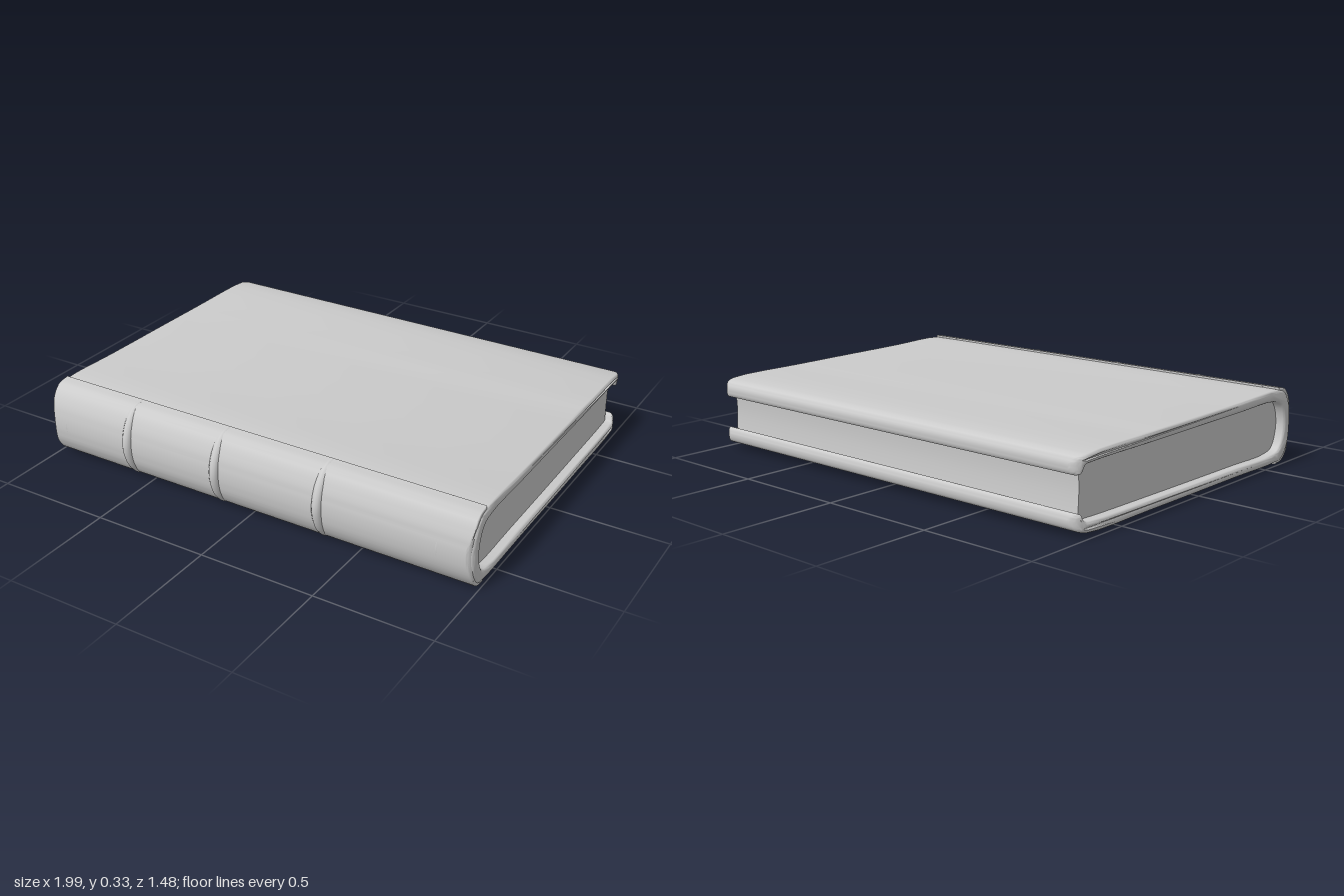
import * as THREE from 'three';
import { toCreasedNormals } from 'three/addons/utils/BufferGeometryUtils.js';

const grey = new THREE.MeshStandardMaterial({ color: 0xcccccc });
grey.name = 'plain grey';

// Smooth curve through [z, y] pairs
function smooth(pairs, closed, steps) {
  const pts = pairs.map(([z, y]) => new THREE.Vector3(z, y, 0));
  return new THREE.CatmullRomCurve3(pts, closed).getPoints(pairs.length * steps)
    .map((p) => new THREE.Vector2(p.x, p.y));
}

// Extrude a (z, y) outline along x, with softened ends
function extrudeAlongX(outline, halfLength, bevel) {
  const depth = 2 * (halfLength - bevel);
  const geo = new THREE.ExtrudeGeometry(new THREE.Shape(outline), {
    depth, bevelEnabled: bevel > 0, bevelThickness: bevel, bevelSize: bevel,
    bevelOffset: -bevel, bevelSegments: 4,
  });
  geo.translate(0, 0, -depth / 2);
  geo.rotateY(-Math.PI / 2);
  return geo;
}

// Round the plan corners at the fore edge and, more gently, at the spine
function roundCorners(geo) {
  const p = geo.attributes.position;
  const inset = (d, r) => (d <= 0 ? 0 : r - Math.sqrt(Math.max(0, r * r - d * d)));
  for (let i = 0; i < p.count; i++) {
    const x = p.getX(i), z = p.getZ(i);
    const cut = inset(-0.685 - z, 0.065) + inset(z - 0.68, 0.045);
    p.setX(i, x - Math.sign(x) * cut);
  }
  return geo;
}

function addMesh(group, name, geo) {
  const mesh = new THREE.Mesh(geo, grey);
  mesh.name = name;
  group.add(mesh);
  return mesh;
}

export function createModel() {
  const book = new THREE.Group();
  book.name = 'book';

  // Wraparound cover: outer skin, curled fore-edge lips, inner skin
  const cover = smooth([
    [-0.735, 0.035], [-0.69, 0.018], [-0.3, 0.012], [0.3, 0.011], [0.59, 0.01],
    [0.65, 0.022], [0.69, 0.08], [0.705, 0.165], [0.69, 0.25], [0.65, 0.308],
    [0.59, 0.324], [0.3, 0.32], [-0.3, 0.314], [-0.69, 0.306], [-0.735, 0.29],
    [-0.745, 0.26], [-0.735, 0.233], [-0.715, 0.235], [-0.70, 0.265], [-0.66, 0.27],
    [-0.3, 0.272], [0.3, 0.276], [0.56, 0.276], [0.62, 0.255], [0.65, 0.165],
    [0.62, 0.07], [0.56, 0.05], [0.3, 0.05], [-0.3, 0.054], [-0.66, 0.06],
    [-0.70, 0.065], [-0.715, 0.09], [-0.735, 0.09], [-0.745, 0.065],
  ], true, 4);
  cover.pop();
  addMesh(book, 'cover', toCreasedNormals(roundCorners(extrudeAlongX(cover, 0.995, 0.014)), 0.7));

  // Page block with a slightly hollow fore edge
  const pages = [
    ...smooth([[-0.705, 0.035], [-0.698, 0.1], [-0.695, 0.165], [-0.698, 0.23], [-0.705, 0.29]], false, 3),
    new THREE.Vector2(0.58, 0.295), new THREE.Vector2(0.66, 0.24),
    new THREE.Vector2(0.66, 0.09), new THREE.Vector2(0.58, 0.03),
  ];
  addMesh(book, 'pages', toCreasedNormals(extrudeAlongX(pages, 0.955, 0), 0.6));

  // Raised spine wrap over the rounded back
  const arc = [
    [0.6, 0.002], [0.655, 0.013], [0.70, 0.075], [0.717, 0.165],
    [0.70, 0.255], [0.655, 0.319], [0.6, 0.332],
  ];
  const wrap = [
    ...smooth(arc, false, 4),
    ...smooth([[0.6, 0.315], [0.64, 0.30], [0.68, 0.245], [0.692, 0.165],
      [0.68, 0.085], [0.64, 0.03], [0.6, 0.018]], false, 4),
  ];
  addMesh(book, 'spine', toCreasedNormals(roundCorners(extrudeAlongX(wrap, 0.99, 0.005)), 0.7));

  // Raised bands across the spine, with fainter ones near the ends
  const bands = [[-0.58, 0.022, 0], [-0.14, 0.022, 0], [0.34, 0.022, 0], [-0.91, 0.016, 0.011], [0.85, 0.016, 0.011]];
  bands.forEach(([x, r, sink]) => {
    const path = new THREE.CatmullRomCurve3([
      [0.6, 0.022], [0.645, 0.03], [0.69, 0.08], [0.713, 0.165],
      [0.69, 0.25], [0.645, 0.302], [0.6, 0.312],
    ].map(([z, y]) => new THREE.Vector3(x, y, z - sink)));
    addMesh(book, 'spineBand', new THREE.TubeGeometry(path, 32, r, 12));
  });

  return book;
}
